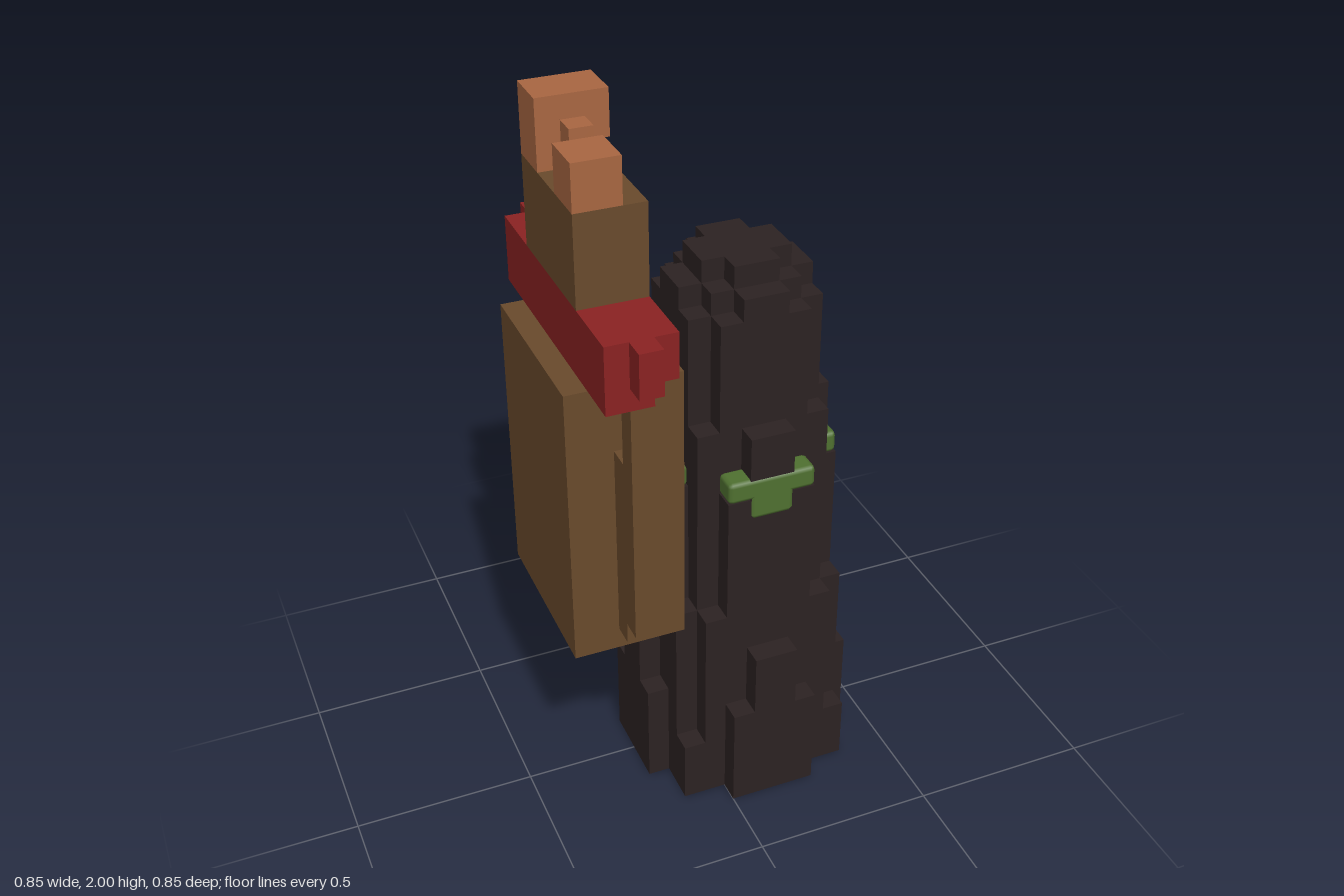
import * as THREE from 'three';
import { RoundedBoxGeometry } from 'three/addons/geometries/RoundedBoxGeometry.js';

const U = 2 / 33; // size of one block

const mat = (name, color) => {
  const m = new THREE.MeshStandardMaterial({ color });
  m.name = name;
  return m;
};

export function createModel() {
  const root = new THREE.Group();
  root.name = 'blockFigure';
  const dark = mat('darkBark', 0x2c2222);
  const brown = mat('brownLeather', 0x694a2c);
  const red = mat('redCloth', 0x8a2222);
  const orange = mat('copper', 0xa86641);
  const grey = mat('steel', 0x575a60);
  const gold = mat('gold', 0xba963c);
  const green = mat('greenGlow', 0x4f7030);

  // Box from corner to corner, in blocks; bevel is a chamfer width in blocks
  function block(parent, name, material, x0, x1, y0, y1, z0, z1, bevel = 0) {
    const s = [(x1 - x0) * U, (y1 - y0) * U, (z1 - z0) * U];
    const geo = bevel
      ? new RoundedBoxGeometry(...s, 1, bevel * U)
      : new THREE.BoxGeometry(...s);
    const mesh = new THREE.Mesh(geo, material);
    mesh.name = name;
    mesh.position.set((x0 + x1) / 2 * U, (y0 + y1) / 2 * U, (z0 + z1) / 2 * U);
    parent.add(mesh);
    return mesh;
  }
  function part(name, x = 0) {
    const g = new THREE.Group();
    g.name = name;
    g.position.x = x * U;
    root.add(g);
    return g;
  }

  // Tapering body: nested crossed blocks [half width, half depth, height]
  const body = part('body', 2);
  const tiers = [
    [4, 4, 3], [5, 2, 5], [5, 1, 8], [4, 3, 10], [4, 2, 16], [4, 1, 19],
    [3, 3, 19], [3, 2, 24], [3, 1, 25], [2, 2, 25], [2, 1, 26],
  ];
  for (const [a, b, h] of tiers) {
    block(body, 'bodyTier', dark, -a, a, 0, h, -b, b);
    if (a !== b) block(body, 'bodyTier', dark, -b, b, 0, h, -a, a);
  }

  // Green band round the body
  const band = part('greenBand', 2);
  for (const s of [-1, 1]) {
    const [z0, z1] = s > 0 ? [2.9, 4.06] : [-4.06, -2.9];
    block(band, 'bandWide', green, -2, 2, 16, 17, z0, z1, 0.2);
    block(band, 'bandCentre', green, -1, 1, 15, 17, z0, z1, 0.2);
    for (const t of [-1.5, 1.5]) {
      block(band, 'bandSide', green, s * 3.5 - 0.5, s * 3.5 + 0.5, 16, 17, t - 0.5, t + 0.5, 0.2);
    }
  }

  // Gold charm on the back corner
  block(part('charm', 2), 'goldCharm', gold, 2, 3.06, 14, 16, -4.03, -2);

  // Pack with its front rod
  const pack = part('pack');
  block(pack, 'packBody', brown, -7, -2, 10, 23, -4, 4);
  block(pack, 'rodInner', brown, -5, -4, 11, 20, 4, 5);
  block(pack, 'rodOuter', brown, -5, -4, 12, 23, 5, 6);
  block(pack, 'packTop', brown, -6, -3, 26, 30, -3, 3);

  // Red roll with a tip at both ends
  const roll = part('redRoll');
  block(roll, 'rollLower', red, -6, -4, 23, 24, -6, 6);
  block(roll, 'rollUpper', red, -6, -3, 24, 26, -6, 6);
  for (const z of [-7, 6]) block(roll, 'rollTip', red, -5, -4, 24, 26, z, z + 1);

  // Steel tool strapped behind
  const tool = part('steelTool');
  block(tool, 'toolTop', grey, -5, -3, 26, 28, -6, -5);
  block(tool, 'toolShaft', grey, -5, -3, 16, 24, -6.03, -5);
  block(tool, 'toolNeck', grey, -4, -3, 13, 16, -6, -4);
  block(tool, 'toolFoot', grey, -5, -3, 11, 13, -5, -4);

  // Copper pieces on the top
  const copper = part('copperPieces');
  block(copper, 'frontPiece', orange, -6, -4, 30, 32, 1, 3);
  block(copper, 'backPieceBase', orange, -6, -4, 30, 31, -3, -1);
  block(copper, 'backPiece', orange, -6, -3, 31, 33, -3, -1);
  block(copper, 'spout', orange, -5, -4, 31, 32, -1, 0);

  return root;
}
